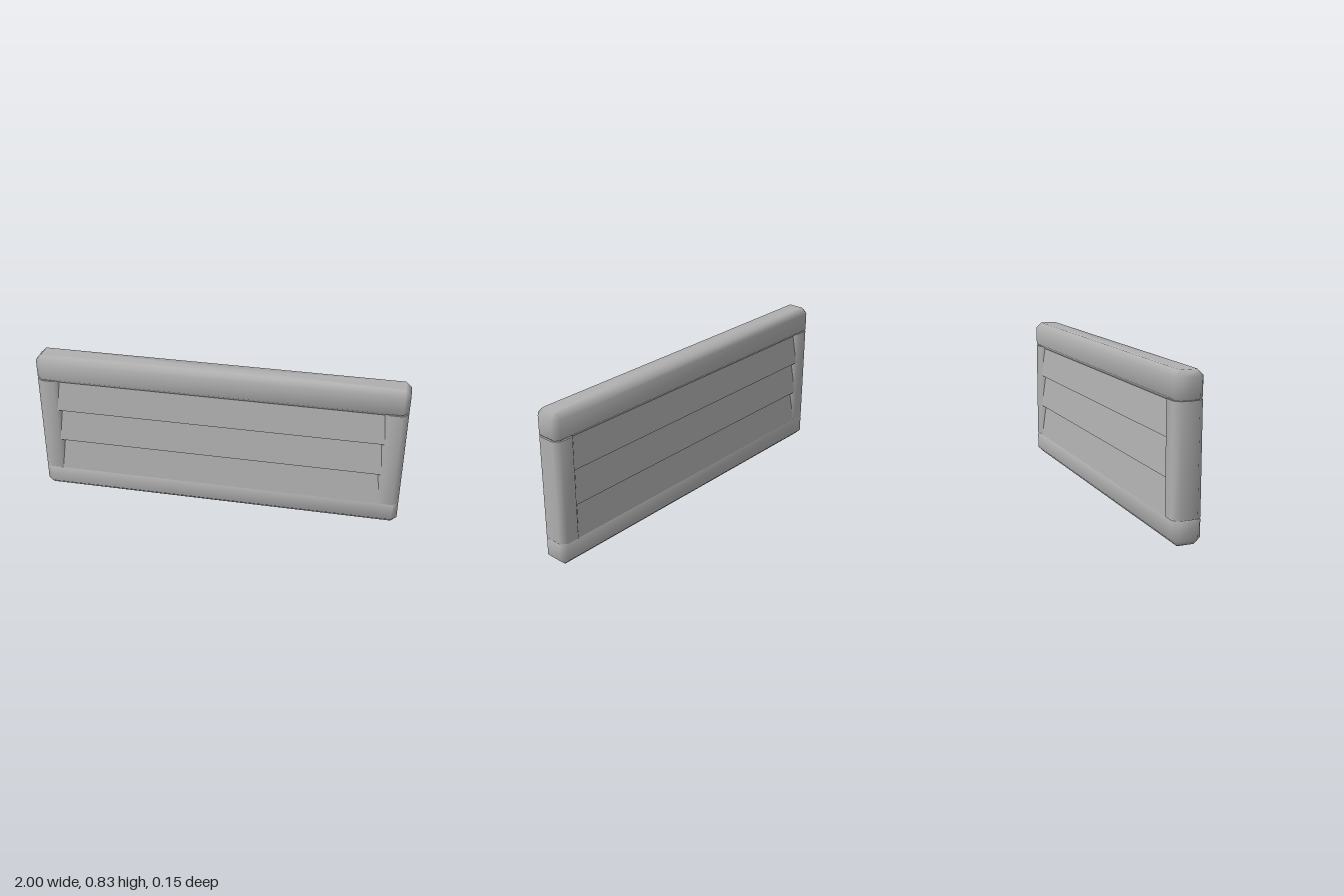
import * as THREE from 'three';

// Stack of chamfered rectangles; each level is [y, inset, cornerCut], normals stay smooth
function chamferedBar(halfX, halfZ, levels) {
  const pos = [], index = [];
  for (const [y, inset, c] of levels) {
    const w = halfX - inset, d = halfZ - inset;
    for (const [x, z] of [
      [w, d - c], [w, c - d], [w - c, -d], [c - w, -d],
      [-w, c - d], [-w, d - c], [c - w, d], [w - c, d],
    ]) pos.push(x, y, z);
  }
  const last = levels.length - 1;
  const bottom = pos.length / 3, top = bottom + 1;
  pos.push(0, levels[0][0], 0, 0, levels[last][0], 0);
  for (let j = 0; j < 8; j++) {
    const k = (j + 1) % 8;
    for (let i = 0; i < last; i++) {
      const a = i * 8 + j, b = i * 8 + k;
      index.push(a, b, b + 8, a, b + 8, a + 8);
    }
    index.push(bottom, k, j, top, last * 8 + j, last * 8 + k);
  }
  const geo = new THREE.BufferGeometry();
  geo.setAttribute('position', new THREE.Float32BufferAttribute(pos, 3));
  geo.setIndex(index);
  geo.computeVertexNormals();
  return geo;
}

export function createModel() {
  const group = new THREE.Group();
  const grey = new THREE.MeshStandardMaterial({ color: 0xb0b0b0 });
  grey.name = 'grey';

  const add = (name, geo, x = 0) => {
    const mesh = new THREE.Mesh(geo, grey);
    mesh.name = name;
    mesh.position.x = x;
    group.add(mesh);
  };

  // Top and bottom rails, chamfered on every edge
  const bevel = 0.03;
  const rail = (y0, y1) => chamferedBar(1, 0.075, [
    [y0, bevel, 0.002], [y0 + bevel, 0, bevel], [y1 - bevel, 0, bevel], [y1, bevel, 0.002],
  ]);
  add('topRail', rail(0.67, 0.83));
  add('bottomRail', rail(0, 0.15));

  // Side posts; doubled end levels keep the end caps crisp
  const post = chamferedBar(0.065, 0.075, [
    [0.128, 0, bevel], [0.128, 0, bevel], [0.69, 0, bevel], [0.69, 0, bevel],
  ]);
  add('leftPost', post, 0.935);
  add('rightPost', post, -0.935);

  // Overlapping boards on both faces, each flaring out towards its lower edge
  const laps = [0.125, 0.315, 0.507, 0.7];
  const side = [];
  for (let i = 0; i < 3; i++) side.push([0.071, laps[i]], [0.05, laps[i + 1]]);
  const outline = [...side, ...side.map(([z, y]) => [-z, y]).reverse()];
  const boards = new THREE.ExtrudeGeometry(
    new THREE.Shape(outline.map(([z, y]) => new THREE.Vector2(z, y))),
    { depth: 1.84, bevelEnabled: false },
  );
  boards.translate(0, 0, -0.92).rotateY(Math.PI / 2);
  add('lapBoards', boards);

  return group;
}
